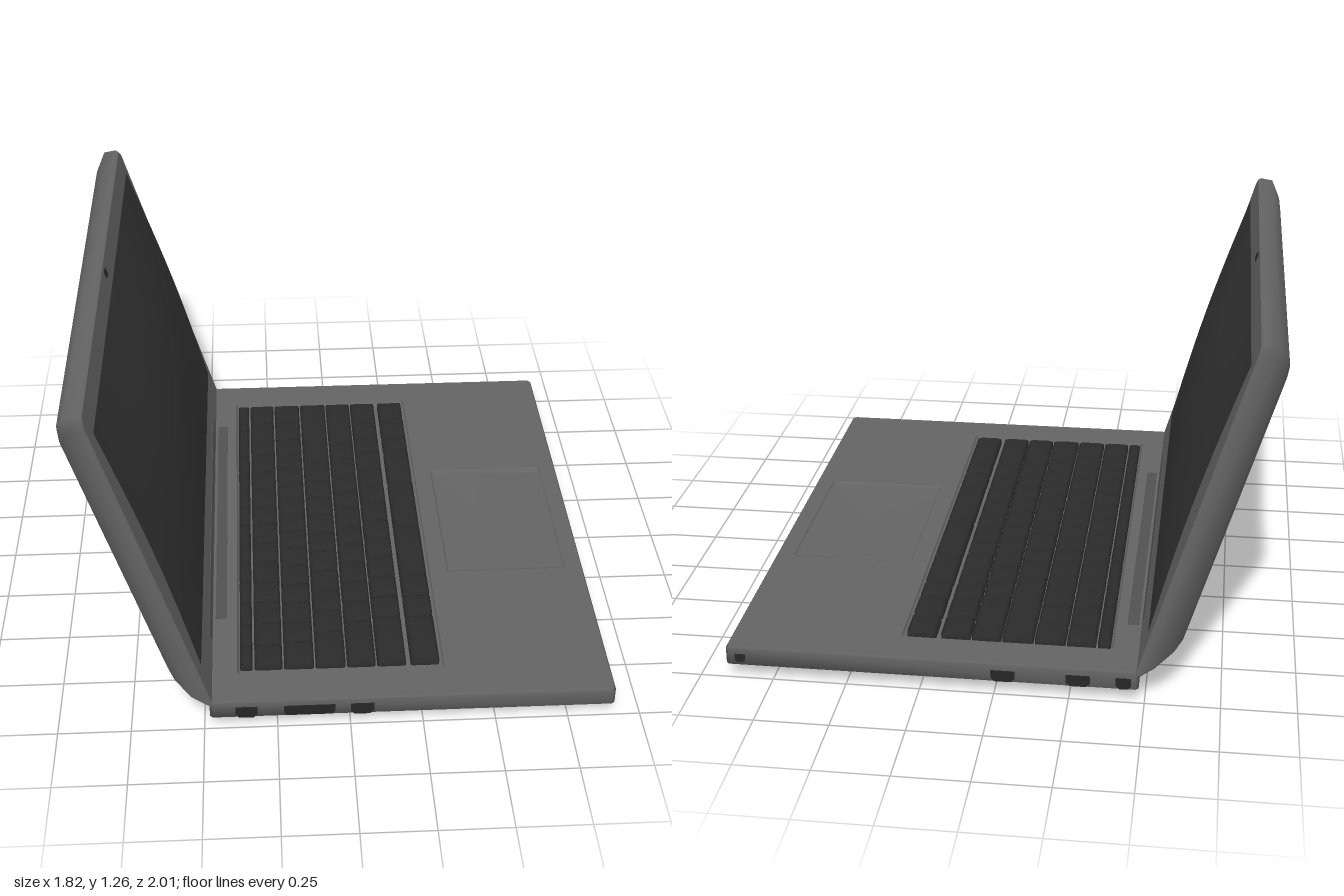
import * as THREE from 'three';

const mat = (name, color, side = THREE.FrontSide) => {
  const m = new THREE.MeshStandardMaterial({ color, side });
  m.name = name;
  return m;
};

// Rectangle with cut corners at height y, from x0 to x1 and z = -h to h
const rect = (y, x0, x1, h, c) => [
  [x0 + c, -h], [x1 - c, -h], [x1, -h + c], [x1, h - c],
  [x1 - c, h], [x0 + c, h], [x0, h - c], [x0, -h + c],
].map(([x, z]) => [x, y, z]);

// Skin through the loops, closed at the last one; flip turns the faces round
function loft(loops, flip = false) {
  const n = loops[0].length, index = [];
  const tri = (a, b, c) => (flip ? index.push(a, c, b) : index.push(a, b, c));
  for (let k = 0; k < loops.length - 1; k++) {
    for (let i = 0; i < n; i++) {
      const p = k * n + i, q = k * n + (i + 1) % n;
      tri(p, q, p + n);
      tri(q, q + n, p + n);
    }
  }
  const s = (loops.length - 1) * n;
  for (let i = 1; i < n - 1; i++) tri(s, s + i, s + i + 1);
  const g = new THREE.BufferGeometry();
  g.setAttribute('position', new THREE.Float32BufferAttribute(loops.flat(2), 3));
  g.setIndex(index);
  g.computeVertexNormals();
  return g;
}

// Flat upward face filling a loop, with holes
function face(loop, holes = []) {
  const pts = (l) => l.map((p) => new THREE.Vector2(p[0], -p[2]));
  const shape = new THREE.Shape(pts(loop));
  for (const h of holes) shape.holes.push(new THREE.Path(pts(h)));
  return new THREE.ShapeGeometry(shape).rotateX(-Math.PI / 2).translate(0, loop[0][1], 0);
}

export function createModel() {
  const body = mat('body grey', 0x646464);
  const keyBlack = mat('key black', 0x2b2b2b);
  const glass = mat('screen black', 0x333333, THREE.DoubleSide);
  const portDark = mat('port dark', 0x262626);
  const hingeGrey = mat('hinge grey', 0x525252);

  const model = new THREE.Group();
  const add = (parent, name, geometry, material, x = 0, y = 0, z = 0) => {
    const m = new THREE.Mesh(geometry, material);
    m.name = name;
    m.position.set(x, y, z);
    parent.add(m);
    return m;
  };

  // Base: rounded underside, flat deck with two recesses
  const base = new THREE.Group();
  base.name = 'base';
  model.add(base);
  const shell = [
    rect(0.115, -0.475, 0.905, 0.995, 0.01),
    rect(0.108, -0.48, 0.91, 1, 0.01),
    rect(0.05, -0.48, 0.91, 1, 0.01),
    rect(0.02, -0.45, 0.85, 0.95, 0.015),
    rect(0.006, -0.42, 0.8, 0.9, 0.02),
    rect(0, -0.38, 0.75, 0.85, 0.02),
  ];
  const well = [rect(0.115, -0.385, 0.335, 0.86, 0.01), rect(0.098, -0.38, 0.33, 0.852, 0.01)];
  const pad = [rect(0.115, 0.4, 0.845, 0.33, 0.005), rect(0.106, 0.405, 0.84, 0.31, 0.005)];
  add(base, 'baseShell', loft(shell), body);
  add(base, 'deck', face(shell[0], [well[0], pad[0]]), body);
  add(base, 'keyboardWell', loft(well, true), body);
  add(base, 'touchpad', loft(pad, true), body);
  add(base, 'hingeGroove', new THREE.BoxGeometry(0.04, 0.004, 1.25), hingeGrey, -0.442, 0.1145, -0.065);

  // Keys: each row is its x range and the z positions of the gaps
  const even = (a, b, n) => Array.from({ length: n + 1 }, (_, i) => a + (b - a) * i / n);
  const rows = [
    [-0.375, -0.332, [-0.84, -0.71, -0.58, ...even(-0.47, 0.83, 11)]],
    [-0.325, -0.228, [-0.84, -0.71, -0.58, ...even(-0.47, 0.83, 11)]],
    [-0.222, -0.118, [-0.84, -0.71, -0.58, -0.47, -0.37, -0.27, -0.17, ...even(-0.06, 0.7, 7), 0.83]],
    [-0.112, -0.008, [-0.84, ...even(-0.395, 0.65, 9), 0.83]],
    [-0.002, 0.097, [-0.84, ...even(-0.54, 0.6, 10), 0.83]],
    [0.103, 0.203, [-0.84, -0.71, -0.58, ...even(-0.47, 0.58, 9), 0.83]],
    [0.22, 0.32, [-0.84, -0.71, -0.58, -0.475, -0.255, 0.04, 0.345, 0.465, 0.58, 0.83]],
  ];
  const keyboard = new THREE.Group();
  keyboard.name = 'keyboard';
  base.add(keyboard);
  for (const [x0, x1, gaps] of rows) {
    const w = (x1 - x0) / 2;
    for (let i = 0; i < gaps.length - 1; i++) {
      const h = (gaps[i + 1] - gaps[i]) / 2 - 0.005;
      const key = [
        rect(0.098, -w, w, h, 0.006),
        rect(0.118, -w, w, h, 0.006),
        rect(0.125, -w + 0.01, w - 0.01, h - 0.01, 0.006),
      ];
      add(keyboard, 'key', loft(key, true), keyBlack, (x0 + x1) / 2, 0, (gaps[i] + gaps[i + 1]) / 2);
    }
  }

  // Ports on both sides: centre x, centre y, width, height
  const ports = {
    1: [[-0.355, 0.07, 0.075, 0.045], [-0.14, 0.072, 0.175, 0.04], [0.04, 0.07, 0.08, 0.045]],
    '-1': [[-0.43, 0.07, 0.05, 0.04], [-0.28, 0.07, 0.08, 0.04], [-0.03, 0.07, 0.08, 0.04], [0.86, 0.075, 0.035, 0.03]],
  };
  for (const side of [1, -1]) {
    for (const [x, y, w, h] of ports[side]) {
      const c = h * 0.3;
      const outline = new THREE.Shape([
        [-w / 2, h / 2], [-w / 2, -h / 2 + c], [-w / 2 + c, -h / 2],
        [w / 2 - c, -h / 2], [w / 2, -h / 2 + c], [w / 2, h / 2],
      ].map((p) => new THREE.Vector2(...p)));
      const g = new THREE.ExtrudeGeometry(outline, { depth: 0.006, bevelEnabled: false });
      add(base, 'port', g.translate(0, 0, -0.003), portDark, x, y, side);
    }
  }

  // Lid: built lying face up with the hinge at x = 0, then swung open
  const lid = new THREE.Group();
  lid.name = 'lid';
  lid.position.set(-0.464, 0.09, 0);
  lid.rotation.z = 0.2938 - Math.PI / 2;
  model.add(lid);
  const cover = [
    rect(0, -1.222, 0, 0.992, 0.025),
    rect(-0.01, -1.23, 0.01, 1, 0.025),
    rect(-0.055, -1.237, -0.045, 1, 0.03),
    rect(-0.1, -1.19, -0.09, 0.945, 0.03),
    rect(-0.117, -1.155, -0.115, 0.905, 0.03),
    rect(-0.118, -1.1, -0.16, 0.85, 0.03),
  ];
  add(lid, 'lidCover', loft(cover), body);
  add(lid, 'bezel', face(cover[0]), body);
  add(lid, 'hingeStrip', new THREE.BoxGeometry(0.028, 0.004, 1.39), hingeGrey, -0.055, 0.001, 0);
  add(lid, 'camera', new THREE.BoxGeometry(0.025, 0.005, 0.035), portDark, -1.195, 0.001, 0);

  // Screen: a sheet bulging gently forward
  const sheet = new THREE.PlaneGeometry(0.993, 1.87, 12, 24).rotateX(-Math.PI / 2);
  const p = sheet.attributes.position;
  for (let i = 0; i < p.count; i++) {
    const along = Math.cos(Math.PI * p.getX(i) / 0.994);
    const across = Math.cos(Math.PI * p.getZ(i) / 1.872);
    p.setY(i, 0.003 + along * (0.014 + 0.041 * across));
  }
  sheet.computeVertexNormals();
  add(lid, 'screen', sheet, glass, -0.6425, 0, 0);

  return model;
}
